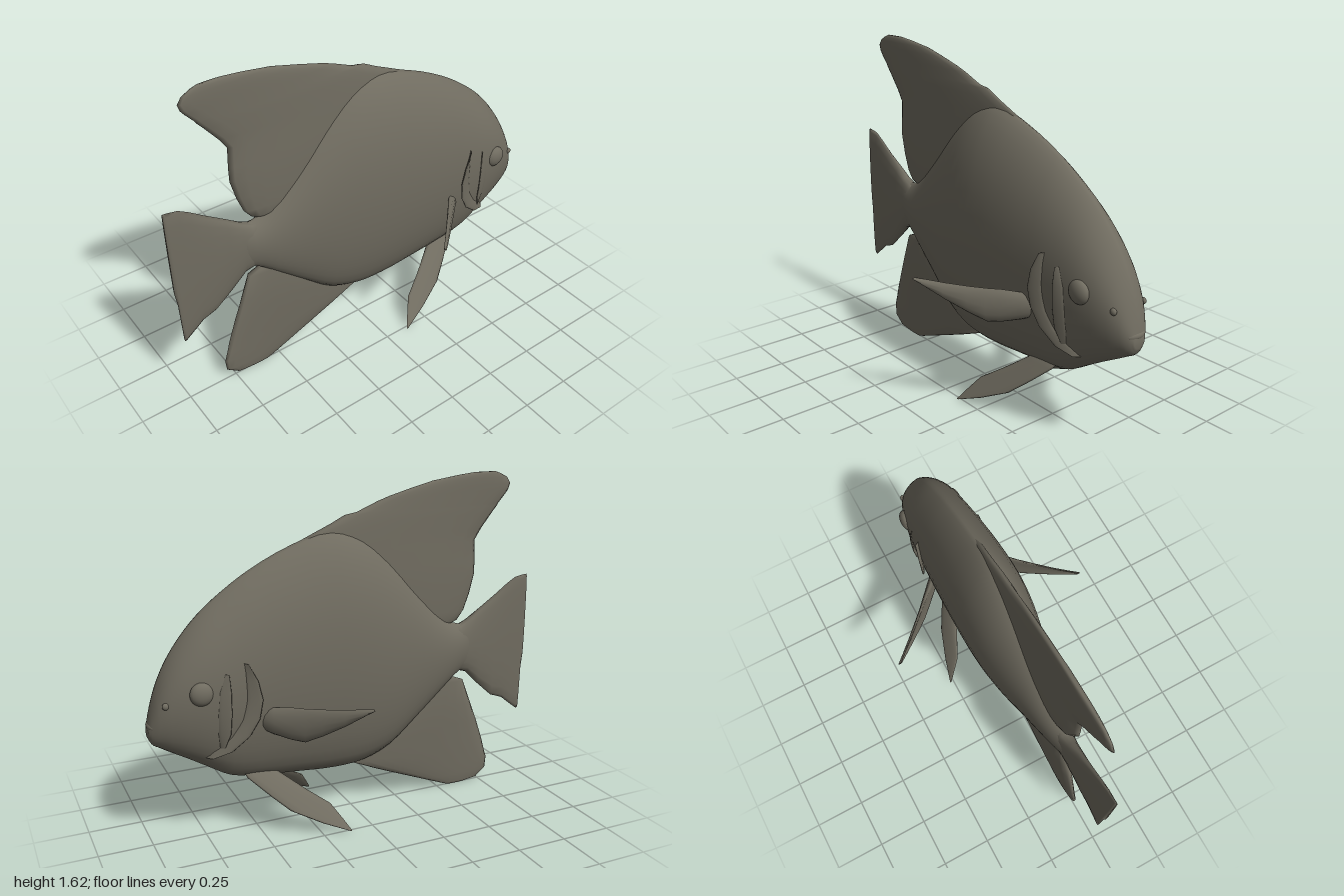
import * as THREE from 'three';

const skin = new THREE.MeshStandardMaterial({ color: 0x706c60 });
skin.name = 'olive grey skin';

// Body sections: [z, bottom, top, half width]
const bodyRows = [
  [-0.995, 0.535, 0.59, 0.03], [-0.98, 0.505, 0.66, 0.05], [-0.95, 0.485, 0.76, 0.078],
  [-0.9, 0.455, 0.87, 0.107], [-0.83, 0.415, 0.975, 0.132], [-0.74, 0.36, 1.075, 0.15],
  [-0.63, 0.295, 1.165, 0.16], [-0.5, 0.27, 1.25, 0.166], [-0.3, 0.25, 1.345, 0.173],
  [-0.1, 0.235, 1.4, 0.172], [0.05, 0.245, 1.36, 0.16], [0.2, 0.3, 1.24, 0.133],
  [0.35, 0.42, 1.08, 0.1], [0.5, 0.55, 0.93, 0.072], [0.6, 0.63, 0.88, 0.052], [0.66, 0.645, 0.895, 0.035],
];

// Smoothly interpolates section rows keyed on their first value
function sampler(rows) {
  const spline = new THREE.CubicInterpolant(rows.map(r => r[0]), rows.flatMap(r => r.slice(1)), 3, new Float32Array(3));
  return s => [s, ...spline.evaluate(s)];
}

function refine(rows, steps) {
  const at = sampler(rows), out = [];
  for (let i = 0; i < rows.length - 1; i++)
    for (let k = 0; k < steps; k++) out.push(at(THREE.MathUtils.lerp(rows[i][0], rows[i + 1][0], k / steps)));
  out.push(rows[rows.length - 1]);
  return out;
}

// Closed loft through rounded sections [s, a, b, half thickness];
// place(s, u, w, c) puts a section point in space, c runs -1..1 from a to b
function loft(rows, place, sides = 16, power = () => 0.7) {
  const pos = [], index = [], n = rows.length;
  for (const [s, a, b, t] of rows)
    for (let j = 0; j < sides; j++) {
      const q = (j / sides) * Math.PI * 2, c = Math.cos(q), sn = Math.sin(q);
      const w = Math.abs(sn) < 1e-6 ? 0 : t * Math.sign(sn) * Math.abs(sn) ** power(c);
      pos.push(...place(s, (a + b) / 2 + c * (b - a) / 2, w, c));
    }
  for (const r of [rows[0], rows[n - 1]]) pos.push(...place(r[0], (r[1] + r[2]) / 2, 0, 0));
  for (let j = 0; j < sides; j++) {
    const k = (j + 1) % sides, e = (n - 1) * sides;
    for (let i = 0; i < n - 1; i++) {
      const p = i * sides, q = p + sides;
      index.push(p + j, p + k, q + k, p + j, q + k, q + j);
    }
    index.push(n * sides, k, j, n * sides + 1, e + j, e + k);
  }
  // Turn the faces outward whichever way the sections run
  const v = i => new THREE.Vector3().fromArray(pos, index[i] * 3);
  let volume = 0;
  for (let i = 0; i < index.length; i += 3) volume += v(i).dot(v(i + 1).cross(v(i + 2)));
  if (volume < 0) index.reverse();
  const g = new THREE.BufferGeometry();
  g.setAttribute('position', new THREE.Float32BufferAttribute(pos, 3));
  g.setIndex(index);
  g.computeVertexNormals();
  return g;
}

const bodyPower = c => (c > 0 ? 1 + 0.35 * c : 1 + 0.15 * c);
const bodyAt = sampler(bodyRows);

// Half width of the body at a given z and y
function surfaceX(z, y) {
  const [, lo, hi, t] = bodyAt(z);
  const c = THREE.MathUtils.clamp((2 * y - lo - hi) / (hi - lo), -1, 1);
  return t * Math.sqrt(1 - c * c) ** bodyPower(c);
}

export function createModel() {
  const model = new THREE.Group();
  model.name = 'fish';
  const add = (name, geometry) => {
    const m = new THREE.Mesh(geometry, skin);
    m.name = name;
    model.add(m);
    return m;
  };
  const blob = (name, p, s) => {
    const m = add(name, new THREE.SphereGeometry(1, 20, 14));
    m.position.set(...p);
    m.scale.set(...s);
  };
  const alongZ = (s, u, w) => [w, u, s];
  const alongY = (s, u, w) => [w, s, u];

  add('body', loft(refine(bodyRows, 3), alongZ, 36, bodyPower));

  // Tall swept dorsal fin: [y, front z, back z, half thickness]
  add('dorsalFin', loft([
    [0.87, 0.3, 0.5, 0.02], [0.905, 0.2, 0.59, 0.03], [0.95, 0.1, 0.625, 0.033], [1.03, 0, 0.655, 0.036],
    [1.13, -0.1, 0.68, 0.036], [1.2, -0.2, 0.68, 0.034], [1.3, -0.25, 0.675, 0.03], [1.355, -0.27, 0.71, 0.027],
    [1.43, -0.1, 0.77, 0.024], [1.465, -0.03, 0.8, 0.022], [1.475, 0.03, 0.805, 0.021], [1.52, 0.14, 0.845, 0.019],
    [1.54, 0.2, 0.86, 0.018], [1.57, 0.31, 0.87, 0.017], [1.6, 0.43, 0.85, 0.015], [1.62, 0.57, 0.81, 0.012],
    [1.63, 0.66, 0.78, 0.006],
  ], alongY, 20));

  // Anal fin
  add('analFin', loft([
    [0.005, 0.56, 0.66, 0.006], [0.016, 0.53, 0.74, 0.012], [0.06, 0.42, 0.795, 0.016], [0.12, 0.27, 0.8, 0.019],
    [0.165, 0.16, 0.785, 0.022], [0.23, 0.01, 0.767, 0.026], [0.35, 0.08, 0.725, 0.032], [0.45, 0.2, 0.685, 0.034],
    [0.58, 0.35, 0.635, 0.03], [0.62, 0.4, 0.53, 0.02],
  ], alongY, 20));

  // Flared tail fin: [z, bottom, top, half thickness]
  add('tailFin', loft([
    [0.5, 0.6, 0.88, 0.05], [0.6, 0.635, 0.875, 0.046], [0.65, 0.62, 0.9, 0.039], [0.72, 0.55, 0.95, 0.031],
    [0.81, 0.47, 1.01, 0.023], [0.88, 0.445, 1.06, 0.018], [0.93, 0.405, 1.09, 0.015], [0.975, 0.37, 1.098, 0.012],
    [0.985, 0.37, 1.1, 0.011], [0.99, 0.58, 1.1, 0.01], [1, 0.66, 1.1, 0.007],
  ], alongZ, 20));

  // Lips
  blob('upperLip', [0, 0.59, -0.96], [0.06, 0.026, 0.038]);
  blob('lowerLip', [0, 0.54, -0.952], [0.055, 0.024, 0.04]);

  for (const [side, sx] of [['left', 1], ['right', -1]]) {
    // Pectoral fin swept out and back: [distance, bottom, top, half thickness]
    add(side + 'PectoralFin', loft([
      [0, 0.54, 0.64, 0.02], [0.12, 0.52, 0.65, 0.018], [0.28, 0.505, 0.66, 0.014], [0.4, 0.502, 0.662, 0.011],
      [0.55, 0.54, 0.668, 0.009], [0.75, 0.6, 0.68, 0.006], [0.9, 0.652, 0.692, 0.004], [1, 0.69, 0.7, 0.002],
    ], (s, u, w, c) => [sx * (0.135 + 0.375 * s + w * 0.7 - 0.015 * c * c), u, -0.5 + 0.38 * s - w * 0.7], 12));

    // Pelvic fin trailing below: [y, front z, back z, half thickness]
    add(side + 'PelvicFin', loft([
      [0.01, -0.125, -0.115, 0.002], [0.06, -0.25, -0.145, 0.005], [0.13, -0.39, -0.19, 0.009],
      [0.2, -0.47, -0.29, 0.013], [0.285, -0.56, -0.4, 0.018], [0.33, -0.58, -0.42, 0.018],
    ], (s, u, w) => [sx * (0.275 - 0.73 * s + w), s, u], 12));

    // Gill cover plates, lifting along their back edge: [y, front z, back z, half thickness]
    const gillPlace = lift => (s, u, w, c) => [sx * (surfaceX(u, s) + w + lift * (c + 0.6)), s, u];
    add(side + 'GillCover', loft([
      [0.43, -0.76, -0.73, 0.003], [0.46, -0.73, -0.65, 0.007], [0.53, -0.65, -0.57, 0.008], [0.61, -0.6, -0.525, 0.008],
      [0.7, -0.58, -0.51, 0.008], [0.79, -0.58, -0.53, 0.007], [0.87, -0.585, -0.57, 0.003],
    ], gillPlace(0.012), 12));
    add(side + 'CheekPlate', loft([
      [0.48, -0.7, -0.68, 0.003], [0.55, -0.71, -0.655, 0.006], [0.65, -0.71, -0.65, 0.006],
      [0.75, -0.7, -0.65, 0.006], [0.83, -0.67, -0.655, 0.003],
    ], gillPlace(0.007), 12));

    // Eye and nostril
    blob(side + 'Eye', [sx * (surfaceX(-0.775, 0.75) - 0.006), 0.75, -0.775], [0.03, 0.054, 0.054]);
    blob(side + 'Nostril', [sx * surfaceX(-0.925, 0.7), 0.7, -0.925], [0.012, 0.016, 0.016]);
  }
  return model;
}
